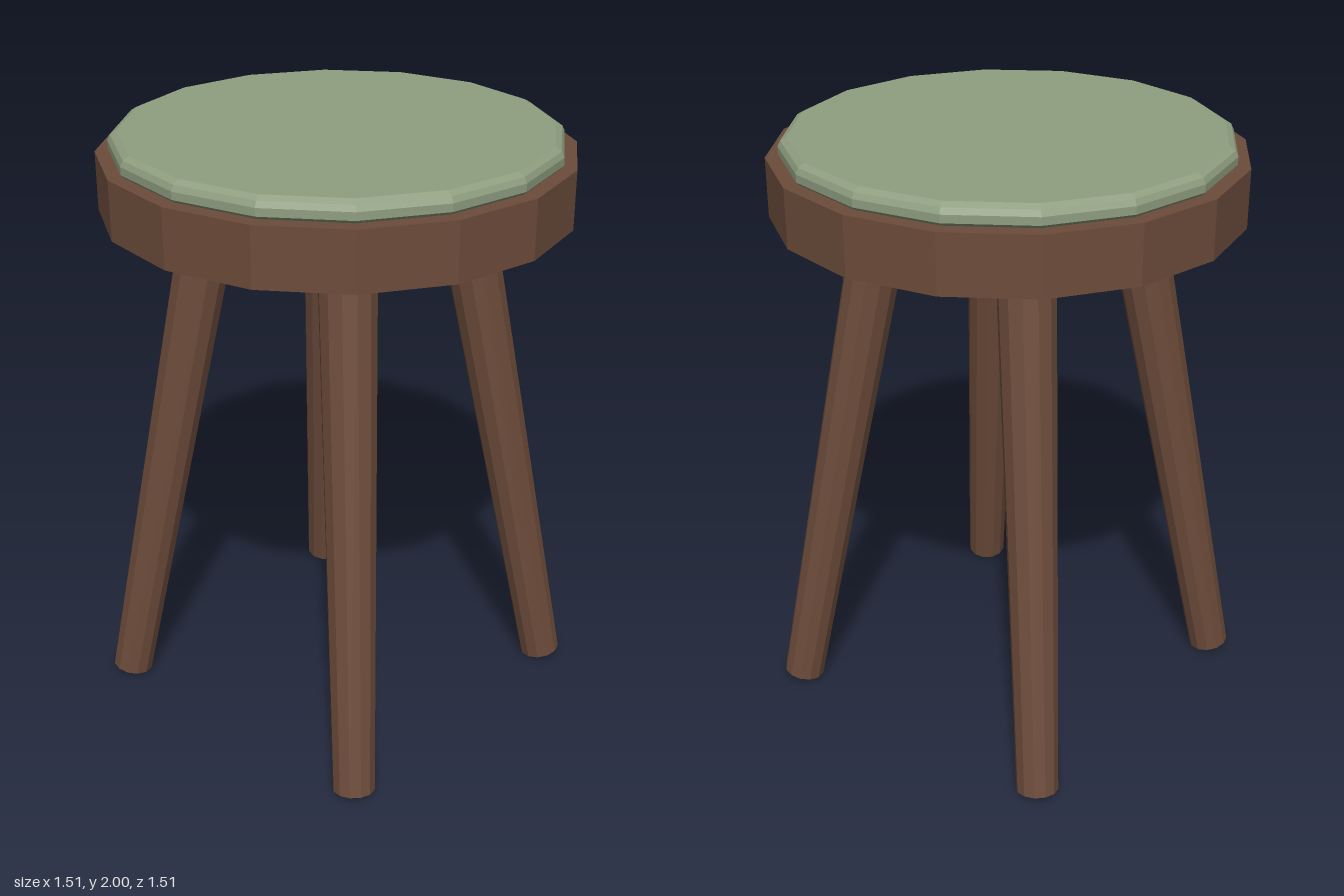
import * as THREE from 'three';

export function createModel() {
  const model = new THREE.Group();
  model.name = 'stool';

  const wood = new THREE.MeshStandardMaterial({ color: 0x6d4c3b, flatShading: true });
  wood.name = 'brown wood';
  const fabric = new THREE.MeshStandardMaterial({ color: 0x8f9e80, flatShading: true });
  fabric.name = 'sage fabric';

  const add = (name, geometry, material) => {
    const mesh = new THREE.Mesh(geometry, material);
    mesh.name = name;
    model.add(mesh);
    return mesh;
  };

  // Sixteen-sided wooden seat
  add('seat', new THREE.CylinderGeometry(0.755, 0.755, 0.19, 16), wood).position.y = 1.84;

  // Thin cushion with a bevelled rim
  const profile = [
    [0, 1.93], [0.7, 1.93], [0.714, 1.945], [0.714, 1.97], [0.705, 1.988], [0.685, 2], [0, 2],
  ].map(([r, y]) => new THREE.Vector2(r, y));
  add('cushion', new THREE.LatheGeometry(profile, 16), fabric);

  // Four splayed legs, narrowing to the foot
  const up = new THREE.Vector3(0, 1, 0);
  for (const [name, sx, sz] of [
    ['frontLeftLeg', 1, 1], ['frontRightLeg', -1, 1],
    ['backLeftLeg', 1, -1], ['backRightLeg', -1, -1],
  ]) {
    const foot = new THREE.Vector3(0.527 * sx, 0.0135, 0.527 * sz);
    const top = new THREE.Vector3(0.276 * sx, 1.8, 0.276 * sz);
    const axis = top.clone().sub(foot);
    const leg = add(name, new THREE.CylinderGeometry(0.093, 0.069, axis.length(), 12), wood);
    leg.position.copy(foot).add(top).multiplyScalar(0.5);
    leg.quaternion.setFromUnitVectors(up, axis.normalize());
  }

  return model;
}
